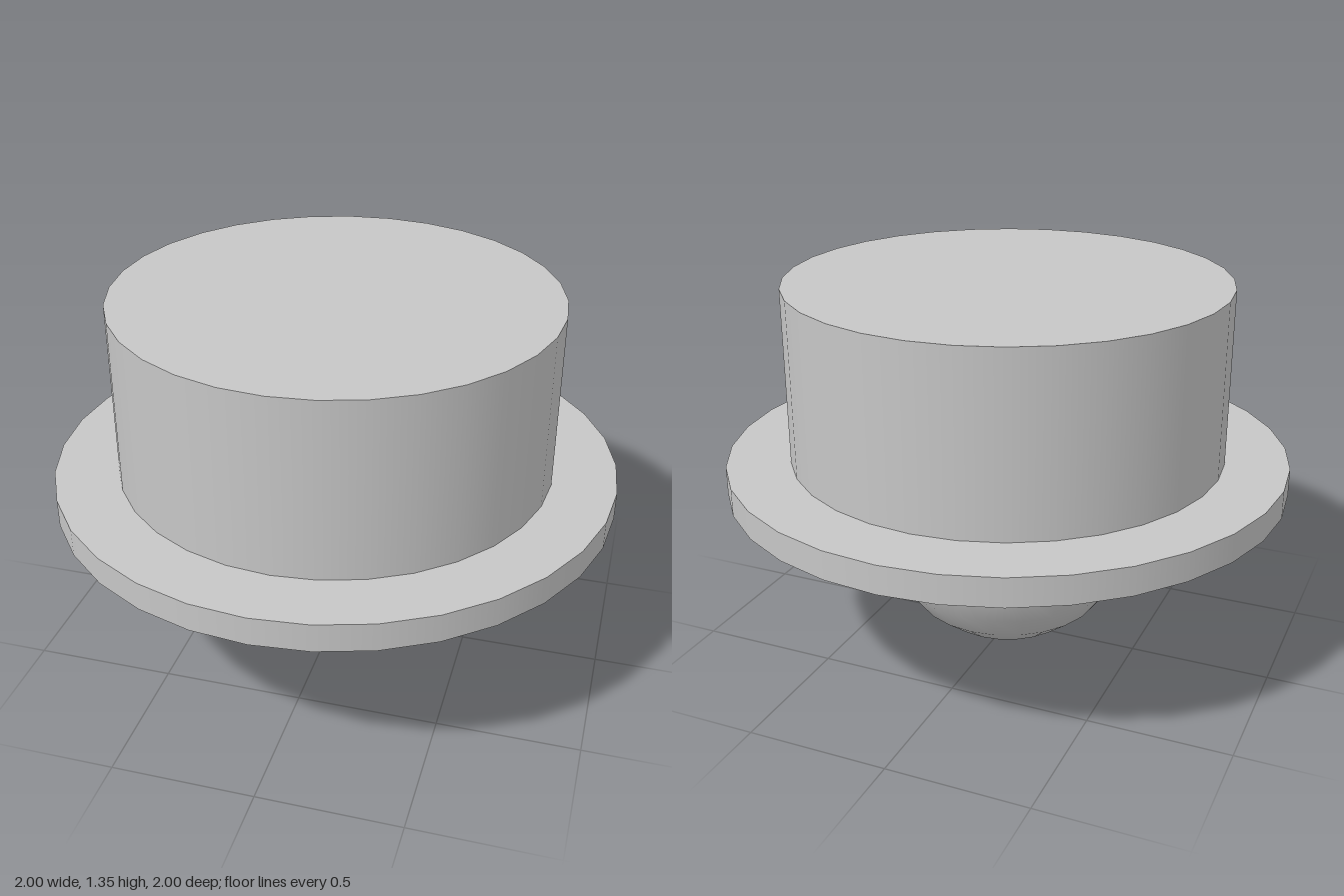
import * as THREE from 'three';

export function createModel() {
  const model = new THREE.Group();
  const grey = new THREE.MeshStandardMaterial({ color: 0xc6c6c6 });
  grey.name = 'light grey';

  const add = (name, geometry, y) => {
    const mesh = new THREE.Mesh(geometry, grey);
    mesh.name = name;
    mesh.position.y = y;
    model.add(mesh);
  };

  // Upright drum, from the flange to the flat top
  add('drum', new THREE.CylinderGeometry(0.775, 0.775, 0.625, 32), 1.0425);

  // Thin wide flange beneath the drum
  add('flange', new THREE.CylinderGeometry(1, 1, 0.1, 32), 0.68);

  // Ball protruding from the underside, its top hidden in the drum
  add('ball', new THREE.SphereGeometry(0.48, 24, 12), 0.485);

  return model;
}
